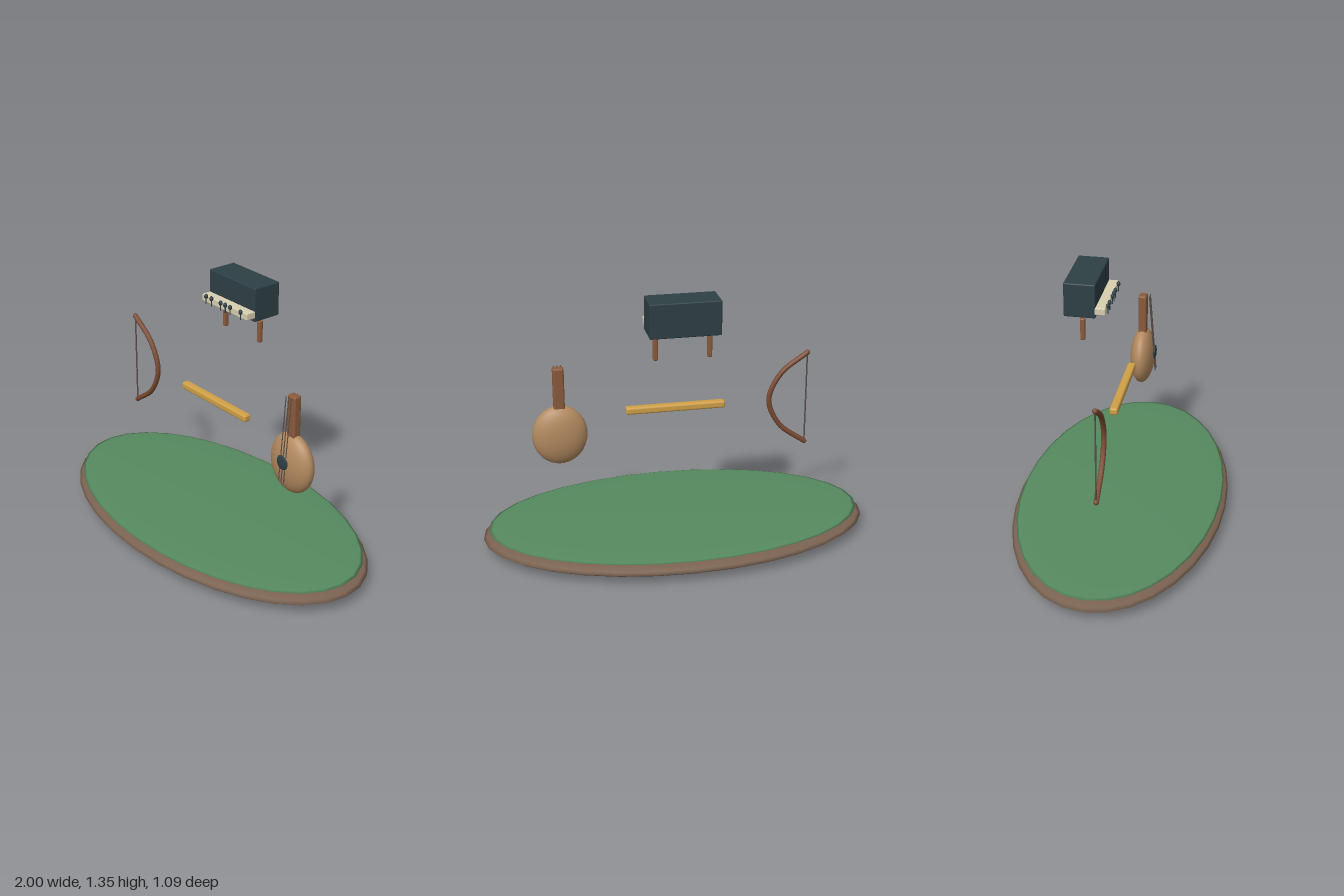
import * as THREE from 'three';
import { RoundedBoxGeometry } from 'three/addons/geometries/RoundedBoxGeometry.js';

const material = (color) => new THREE.MeshStandardMaterial({ color });
const mats = {
  earth: material(0x7a6250), grass: material(0x568a5f), slate: material(0x2e4046),
  ivory: material(0xd8cfb0), wood: material(0x8a5a3c), bow: material(0x7a4b32),
  gold: material(0xd0a048), body: material(0xb38a60), string: material(0x5a5048),
};

function add(parent, name, geometry, mat, x = 0, y = 0, z = 0) {
  const mesh = new THREE.Mesh(geometry, mat);
  mesh.name = name;
  mesh.position.set(x, y, z);
  parent.add(mesh);
  return mesh;
}

function group(parent, name, x = 0, y = 0, z = 0) {
  const g = new THREE.Group();
  g.name = name;
  g.position.set(x, y, z);
  parent.add(g);
  return g;
}

const ellipsoid = (rx, ry, rz, w = 32, h = 16) =>
  new THREE.SphereGeometry(1, w, h).scale(rx, ry, rz);

// Thin rod between two points
function rod(parent, name, a, b, radius, mat) {
  const from = new THREE.Vector3(...a), to = new THREE.Vector3(...b);
  const dir = to.clone().sub(from);
  const mesh = add(parent, name, new THREE.CylinderGeometry(radius, radius, dir.length(), 8), mat);
  mesh.position.copy(from).add(to).multiplyScalar(0.5);
  mesh.quaternion.setFromUnitVectors(new THREE.Vector3(0, 1, 0), dir.normalize());
  return mesh;
}

export function createModel() {
  const model = new THREE.Group();
  model.name = 'floatingInstruments';

  // Island: flattened earth disc with a grass cap
  const island = group(model, 'island');
  add(island, 'earth', ellipsoid(1, 0.06, 0.545), mats.earth, 0, 0.06, 0);
  add(island, 'grass', ellipsoid(0.97, 0.017, 0.522), mats.grass, 0, 0.106, 0);

  // Piano: case, key shelf, sharps and two legs
  const piano = group(model, 'piano', 0, 0, -0.18);
  add(piano, 'case', new RoundedBoxGeometry(0.352, 0.174, 0.156, 3, 0.006), mats.slate, 0, 1.259, 0);
  add(piano, 'keyShelf', new RoundedBoxGeometry(0.35, 0.038, 0.07, 3, 0.006), mats.ivory, 0, 1.209, 0.092);
  for (const x of [-0.135, -0.093, -0.02, 0.016, 0.053, 0.133]) {
    add(piano, 'sharpKey', ellipsoid(0.011, 0.013, 0.01, 12, 8), mats.slate, x, 1.226, 0.132);
    rod(piano, 'sharpKeyStem', [x, 1.186, 0.132], [x, 1.226, 0.132], 0.003, mats.slate);
  }
  for (const x of [-0.134, 0.134]) {
    add(piano, 'leg', new RoundedBoxGeometry(0.024, 0.115, 0.024, 3, 0.007), mats.wood, x, 1.0935, 0.007);
  }

  // Flute: plain tube with softened ends
  add(model, 'flute', new RoundedBoxGeometry(0.51, 0.038, 0.042, 3, 0.011), mats.gold, 0, 0.713, 0);

  // Bow: curved limb and straight string
  const bow = group(model, 'bow', -0.685, 0.711, 0);
  const limb = new THREE.CatmullRomCurve3(
    [[0, 0.246], [0.137, 0.14], [0.196, 0], [0.137, -0.14], [0, -0.246]]
      .map(([x, y]) => new THREE.Vector3(x, y, 0)));
  add(bow, 'limb', new THREE.TubeGeometry(limb, 40, 0.0135, 10), mats.bow);
  for (const y of [-0.246, 0.246]) add(bow, 'limbTip', ellipsoid(0.0135, 0.0135, 0.0135, 12, 8), mats.bow, 0, y, 0);
  rod(bow, 'bowString', [0, -0.246, 0], [0, 0.246, 0], 0.004, mats.string);

  // Lute: body, neck, sound hole and three strings
  const lute = group(model, 'lute', 0.59, 0, 0);
  add(lute, 'body', ellipsoid(0.14, 0.156, 0.065, 24, 16), mats.body, 0, 0.611, 0);
  add(lute, 'neck', new RoundedBoxGeometry(0.056, 0.27, 0.044, 3, 0.01), mats.wood, 0, 0.834, 0);
  add(lute, 'soundHole', ellipsoid(0.038, 0.038, 0.008, 20, 12), mats.slate, 0, 0.633, 0.067);
  for (const x of [-0.018, 0, 0.018]) {
    rod(lute, 'string', [x, 0.529, 0.071], [x, 0.966, 0.036], 0.0025, mats.string);
  }

  return model;
}
